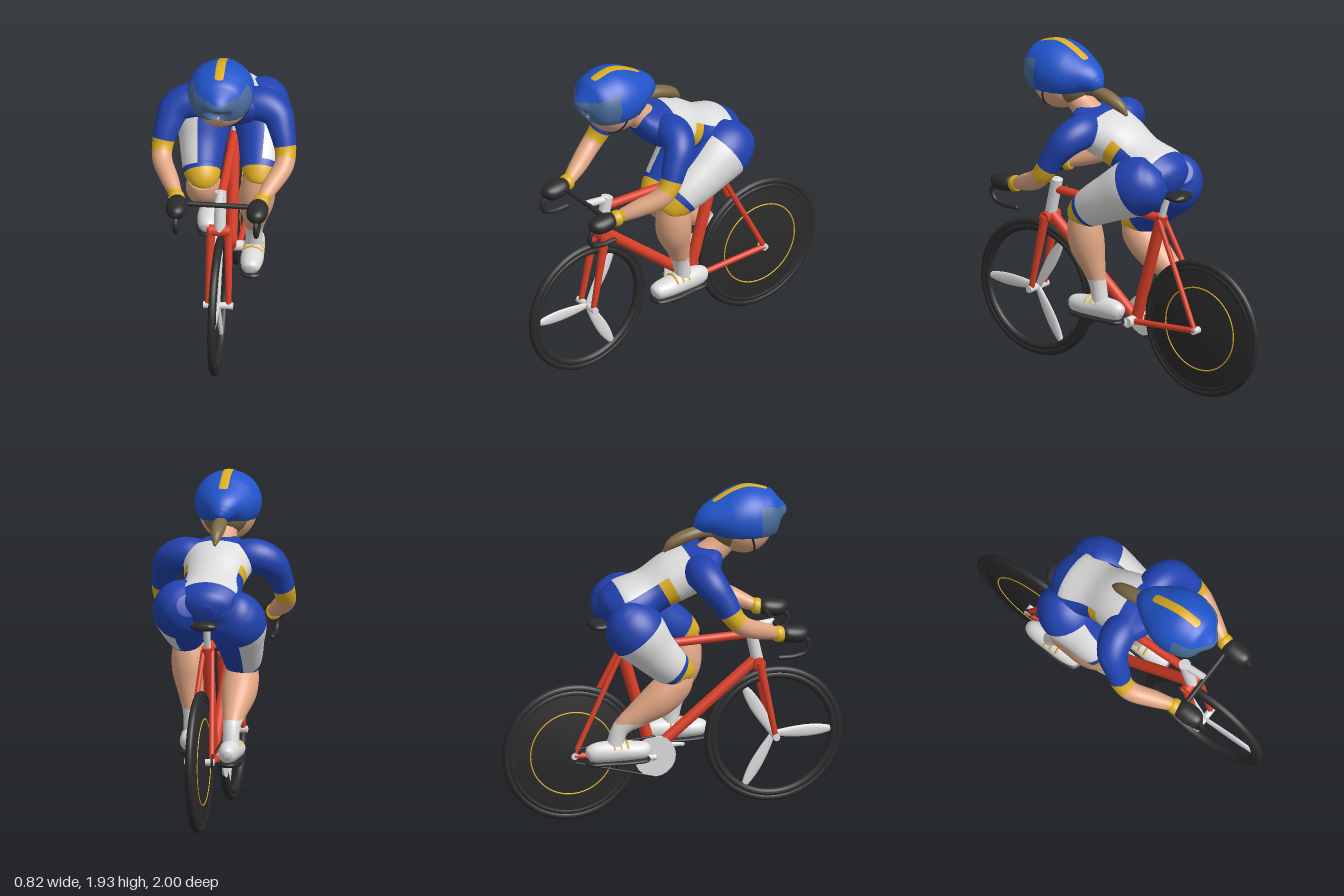
import * as THREE from 'three';

const mat = (name, color) => Object.assign(new THREE.MeshStandardMaterial({ color }), { name });
const M = {
  suit: mat('suit blue', 0x2143b0), helmet: mat('helmet blue', 0x2155cc), visor: mat('visor blue grey', 0x4a6c9c),
  white: mat('white', 0xdcdcdc), yellow: mat('yellow', 0xdcae22), red: mat('frame red', 0xdc3f28),
  black: mat('black', 0x2b2b2b), skin: mat('skin', 0xe0a683), hair: mat('hair brown', 0x7d6a45),
};
const V = (x, y, z) => new THREE.Vector3(x, y, z);

export function createModel() {
  const root = new THREE.Group();
  root.name = 'racingCyclist';

  const add = (name, geo, material, pos = [0, 0, 0]) => {
    const m = new THREE.Mesh(geo, material);
    m.name = name;
    m.position.set(...pos);
    root.add(m);
    return m;
  };

  // Straight tube between two points
  const rod = (name, material, a, b, r1, r2 = r1) => {
    const A = V(...a), B = V(...b), d = B.clone().sub(A);
    const m = add(name, new THREE.CylinderGeometry(r2, r1, d.length(), 20), material);
    m.position.copy(A).add(B).multiplyScalar(0.5);
    m.quaternion.setFromUnitVectors(V(0, 1, 0), d.normalize());
    return m;
  };

  // Closed loft through stations [x, y, z, rx, ry]; paint(p, u, cos, sin) picks a material per face
  const loft = (name, st, paint, { ref = V(1, 0, 0), floor = -1, rings = 48, seg = 40 } = {}) => {
    const path = new THREE.CatmullRomCurve3(st.map(s => V(s[0], s[1], s[2])), false, 'catmullrom');
    const size = new THREE.CatmullRomCurve3(st.map(s => V(s[3], s[4] ?? s[3], 0)), false, 'catmullrom');
    const pts = [];
    for (let i = 0; i <= rings; i++) {
      const c = path.getPoint(i / rings), r = size.getPoint(i / rings), t = path.getTangent(i / rings);
      const side = ref.clone().addScaledVector(t, -ref.dot(t)).normalize();
      const up = t.clone().cross(side);
      for (let j = 0; j < seg; j++) {
        const a = j / seg * Math.PI * 2;
        const p = c.clone().addScaledVector(side, Math.cos(a) * Math.max(r.x, 0.002))
          .addScaledVector(up, Math.sin(a) * Math.max(r.y, 0.002));
        p.y = Math.max(p.y, floor);
        pts.push(p);
      }
    }
    const rule = typeof paint === 'function' ? paint : () => paint;
    const faces = new Map();
    const put = (m, ...ids) => { if (!faces.has(m)) faces.set(m, []); faces.get(m).push(...ids); };
    for (let i = 0; i < rings; i++) for (let j = 0; j < seg; j++) {
      const k = (j + 1) % seg, a = i * seg + j, b = i * seg + k, c = b + seg, d = a + seg;
      const mid = pts[a].clone().add(pts[b]).add(pts[c]).add(pts[d]).multiplyScalar(0.25);
      const ang = (j + 0.5) / seg * Math.PI * 2;
      put(rule(mid, (i + 0.5) / rings, Math.cos(ang), Math.sin(ang)), a, b, c, a, c, d);
    }
    // End caps
    const n = pts.length, last = rings * seg;
    pts.push(path.getPoint(0), path.getPoint(1));
    pts[n].y = Math.max(pts[n].y, floor);
    pts[n + 1].y = Math.max(pts[n + 1].y, floor);
    const m0 = rule(pts[n], 0, 0, 0), m1 = rule(pts[n + 1], 1, 0, 0);
    for (let j = 0; j < seg; j++) {
      const k = (j + 1) % seg;
      put(m0, n, k, j);
      put(m1, n + 1, last + j, last + k);
    }
    const geo = new THREE.BufferGeometry().setFromPoints(pts);
    const index = [], mats = [...faces.keys()];
    mats.forEach((m, i) => {
      geo.addGroup(index.length, faces.get(m).length, i);
      for (const id of faces.get(m)) index.push(id);
    });
    geo.setIndex(index);
    geo.computeVertexNormals();
    return add(name, geo, mats);
  };

  const ring = (name, material, R, r, x, y, z) => {
    const m = add(name, new THREE.TorusGeometry(R, r, 14, 72), material, [x, y, z]);
    m.rotation.y = Math.PI / 2;
    return m;
  };

  // Wheels
  const WY = 0.405, FZ = 0.595, RZ = -0.595;
  for (const [n, z] of [['front', FZ], ['rear', RZ]]) {
    ring(n + 'Tyre', M.black, 0.383, 0.022, 0, WY, z);
    ring(n + 'Rim', M.black, 0.355, 0.023, 0, WY, z);
    rod(n + 'Hub', M.white, [-0.085, WY, z], [0.085, WY, z], 0.02);
  }
  for (let i = 0; i < 3; i++) {
    const a = i * Math.PI * 2 / 3;
    loft('wheelBlade', [[0, 0.016], [0.1, 0.03], [0.2, 0.036], [0.28, 0.03], [0.345, 0.016]].map(([r, w]) =>
      [0, WY + Math.sin(a) * r, FZ + Math.cos(a) * r, 0.012, w]), M.white, { rings: 16, seg: 16 });
  }
  const disc = add('rearDisc', new THREE.LatheGeometry(
    [[0, -0.035], [0.35, -0.02], [0.35, 0.02], [0, 0.035]].map(p => new THREE.Vector2(...p)), 64), M.black, [0, WY, RZ]);
  disc.rotation.z = Math.PI / 2;
  for (const s of [-1, 1]) ring('discStripe', M.yellow, 0.245, 0.004, s * 0.0245, WY, RZ);

  // Frame
  const BY = 0.36, BZ = -0.12;
  rod('topTube', M.red, [0, 1.02, 0.46], [0, 1.0, -0.3], 0.025);
  rod('downTube', M.red, [0, 0.87, 0.5], [0, BY, BZ], 0.032);
  rod('seatTube', M.red, [0, 1.02, -0.305], [0, BY, BZ], 0.034);
  rod('headTube', M.white, [0, 0.85, 0.505], [0, 1.08, 0.455], 0.034);
  rod('forkCrown', M.red, [-0.06, 0.85, 0.505], [0.06, 0.85, 0.505], 0.033);
  rod('seatPost', M.white, [0, 1.0, -0.3], [0, 1.15, -0.345], 0.02);
  rod('bottomBracket', M.white, [-0.09, BY, BZ], [0.09, BY, BZ], 0.03);
  for (const s of [-1, 1]) {
    rod('forkBlade', M.red, [s * 0.05, 0.86, 0.503], [s * 0.06, WY, FZ], 0.026, 0.016);
    rod('seatStay', M.red, [s * 0.025, 1.0, -0.3], [s * 0.07, WY, RZ], 0.015);
    rod('chainStay', M.red, [s * 0.045, BY, BZ], [s * 0.07, WY, RZ], 0.017);
  }
  loft('saddle', [[0, 1.165, -0.49, 0.03, 0.015], [0, 1.16, -0.46, 0.075, 0.025], [0, 1.16, -0.38, 0.07, 0.025],
    [0, 1.155, -0.27, 0.03, 0.02], [0, 1.15, -0.18, 0.015, 0.012]], M.black);

  // Drive train
  rod('chainring', M.white, [-0.08, BY, BZ], [-0.07, BY, BZ], 0.122);
  rod('rearCog', M.black, [-0.08, WY, RZ], [-0.07, WY, RZ], 0.04);
  rod('upperChain', M.black, [-0.075, BY + 0.122, BZ], [-0.075, WY + 0.04, RZ], 0.006);
  rod('lowerChain', M.black, [-0.075, BY - 0.122, BZ], [-0.075, WY - 0.04, RZ], 0.006);
  for (const s of [-1, 1]) {
    const pz = BZ + s * 0.205;
    rod('crankArm', M.white, [s * 0.09, BY, BZ], [s * 0.09, BY, pz], 0.018, 0.014);
    rod('pedalAxle', M.white, [s * 0.08, BY, pz], [s * 0.19, BY, pz], 0.012);
    add('pedal', new THREE.BoxGeometry(0.09, 0.025, 0.09), M.black, [s * 0.15, BY - 0.003, pz]);
  }

  // Handlebar
  rod('stem', M.white, [0, 1.065, 0.46], [0, 1.08, 0.6], 0.022);
  rod('barTop', M.black, [-0.21, 1.08, 0.6], [0.21, 1.08, 0.6], 0.015);
  for (const s of [-1, 1]) {
    const c = new THREE.CatmullRomCurve3([[0.2, 1.08, 0.6], [0.228, 1.08, 0.63], [0.23, 1.07, 0.7], [0.23, 1.02, 0.745],
      [0.23, 0.965, 0.725], [0.23, 0.945, 0.66], [0.23, 0.945, 0.57]].map(p => V(s * p[0], p[1], p[2])));
    add('barDrop', new THREE.TubeGeometry(c, 40, 0.014, 12), M.black);
    add('barEnd', new THREE.SphereGeometry(0.014, 12, 8), M.black, [s * 0.23, 0.945, 0.57]);
  }

  // Torso: blue hips, yellow stripe, white ribs and back, blue shoulders
  loft('torso', [[0, 1.22, -0.42, 0.05], [0, 1.24, -0.37, 0.15, 0.12], [0, 1.27, -0.27, 0.2, 0.15],
    [0, 1.34, -0.13, 0.17, 0.13], [0, 1.41, 0, 0.185, 0.14], [0, 1.455, 0.11, 0.21, 0.13], [0, 1.495, 0.19, 0.2, 0.1],
    [0, 1.535, 0.25, 0.12, 0.06], [0, 1.55, 0.28, 0.05, 0.03]], (p, u, c, s) => {
    if (s > 0.5 && u > 0.22 && u < 0.56) return M.white;
    if (u > 0.42 && u < 0.475) return M.yellow;
    return u >= 0.475 && u < 0.64 ? M.white : M.suit;
  }, { rings: 72, seg: 56 });

  // Arms and gloves
  for (const s of [-1, 1]) {
    loft('arm', [[0.08, 1.47, 0.13, 0.09], [0.2, 1.48, 0.13, 0.1], [0.29, 1.44, 0.16, 0.09], [0.33, 1.35, 0.22, 0.073],
      [0.352, 1.25, 0.275, 0.06], [0.343, 1.19, 0.34, 0.056], [0.29, 1.14, 0.45, 0.05], [0.245, 1.1, 0.55, 0.036],
      [0.24, 1.09, 0.58, 0.036]].map(([x, ...r]) => [s * x, ...r]), (p, u) =>
      u < 0.45 ? M.suit : u < 0.545 || p.z > 0.54 ? M.yellow : M.skin, { ref: V(0, 0.6, 0.8), rings: 64 });
    loft('wristBand', [[0.247, 1.1, 0.54, 0.036], [0.245, 1.098, 0.55, 0.045], [0.238, 1.09, 0.575, 0.046],
      [0.235, 1.088, 0.588, 0.036]].map(([x, ...r]) => [s * x, ...r]), M.yellow, { rings: 12 });
    loft('glove', [[0.235, 1.09, 0.575, 0.035], [0.232, 1.088, 0.61, 0.057, 0.048], [0.23, 1.08, 0.67, 0.06, 0.05],
      [0.23, 1.078, 0.715, 0.045, 0.04], [0.23, 1.07, 0.742, 0.012]].map(([x, ...r]) => [s * x, ...r]), M.black);
  }

  // Legs: the +x knee is raised, the -x knee is low
  const thighs = {
    1: [[0.1, 1.27, -0.4, 0.06], [0.13, 1.25, -0.34, 0.14], [0.155, 1.22, -0.24, 0.17], [0.18, 1.13, -0.08, 0.14],
      [0.185, 1.045, 0.06, 0.115], [0.185, 0.99, 0.13, 0.09], [0.18, 0.955, 0.155, 0.06]],
    [-1]: [[-0.1, 1.27, -0.36, 0.07], [-0.13, 1.23, -0.32, 0.14], [-0.16, 1.15, -0.25, 0.168], [-0.165, 1.03, -0.15, 0.135],
      [-0.16, 0.93, -0.055, 0.113], [-0.15, 0.88, 0, 0.095], [-0.15, 0.84, 0.01, 0.06]],
  };
  const shins = {
    1: [[0.18, 1.0, 0.12, 0.08], [0.175, 0.9, 0.118, 0.1], [0.165, 0.8, 0.105, 0.1], [0.155, 0.68, 0.07, 0.07],
      [0.147, 0.58, 0.045, 0.05], [0.145, 0.46, 0.025, 0.047]],
    [-1]: [[-0.15, 0.88, 0, 0.085], [-0.15, 0.81, -0.03, 0.1], [-0.15, 0.73, -0.12, 0.1], [-0.147, 0.65, -0.24, 0.073],
      [-0.145, 0.575, -0.34, 0.05], [-0.145, 0.46, -0.385, 0.047]],
  };
  for (const s of [1, -1]) {
    loft('thigh', thighs[s], (p, u, c) => u > 0.75 ? M.yellow
      : u > 0.35 && u < 0.7 && s * c > 0.15 ? M.white : M.suit, { rings: 56 });
    loft('lowerLeg', shins[s], p => p.y < 0.61 ? M.white : M.skin, { rings: 56 });
    // Shoe, sole and laces
    const x = s * 0.145, z = s > 0 ? 0 : -0.41;
    loft('shoe', [[0.425, 0.238, 0.02], [0.43, 0.215, 0.05, 0.045], [0.435, 0.14, 0.065, 0.055], [0.44, 0.04, 0.062, 0.062],
      [0.44, -0.06, 0.055, 0.06], [0.435, -0.115, 0.04, 0.045], [0.43, -0.135, 0.012]]
      .map(([y, d, ...r]) => [x, y, z + d, ...r]), M.white, { floor: 0.385 });
    loft('sole', [[0.24, 0.02, 0.008], [0.21, 0.055, 0.017], [0.1, 0.067, 0.018], [-0.02, 0.055, 0.018], [-0.1, 0.05, 0.017],
      [-0.135, 0.015, 0.008]].map(([d, ...r]) => [x, 0.377, z + d, ...r]), M.black);
    for (const d of [0.1, 0.06, 0.02]) {
      const lace = add('lace', new THREE.TorusGeometry(0.062, 0.006, 8, 16, Math.PI * 0.7), M.yellow, [x, 0.437, z + d]);
      lace.rotation.z = Math.PI * 0.15;
    }
  }

  // Head, hair and helmet
  loft('neck', [[0, 1.5, 0.18, 0.085], [0, 1.57, 0.27, 0.075], [0, 1.65, 0.36, 0.075]], M.skin, { rings: 16 });
  add('head', new THREE.SphereGeometry(0.165, 40, 28), M.skin, [0, 1.69, 0.42]);
  add('nose', new THREE.SphereGeometry(0.016, 16, 12), M.skin, [0, 1.652, 0.58]);
  const mouth = add('mouth', new THREE.TorusGeometry(0.022, 0.003, 6, 16, Math.PI * 0.7), M.hair, [0, 1.64, 0.571]);
  mouth.rotation.z = Math.PI * 1.15;
  const strap = add('chinStrap', new THREE.TorusGeometry(0.166, 0.006, 8, 40, Math.PI), M.black, [0, 1.69, 0.42]);
  strap.rotation.set(-0.3, 0, Math.PI);
  add('hairBack', new THREE.SphereGeometry(0.14, 32, 20), M.hair, [0, 1.695, 0.36]);
  loft('ponytail', [[0, 1.645, 0.26, 0.025], [0, 1.665, 0.19, 0.033], [0, 1.65, 0.09, 0.042, 0.036],
    [0, 1.61, 0, 0.032], [0, 1.565, -0.05, 0.008]], M.hair);
  const shell = [[1.72, 0.632, 0.03, 0.03], [1.73, 0.62, 0.085, 0.085], [1.735, 0.58, 0.145, 0.14], [1.74, 0.52, 0.175, 0.165],
    [1.743, 0.43, 0.19, 0.178], [1.74, 0.33, 0.172, 0.15], [1.735, 0.23, 0.115, 0.095], [1.71, 0.16, 0.055, 0.05],
    [1.7, 0.13, 0.012, 0.012]];
  loft('helmet', shell.map(([y, z, a, b]) => [0, y, z, a, b]),
    p => p.z > 0.485 && p.y < 1.8 + (0.62 - p.z) * 0.33 ? M.visor : M.helmet, { floor: 1.65, rings: 88, seg: 64 });
  loft('helmetStripe', shell.slice(1, 8).map(([y, z, a, b]) => [0, y + b, z, 0.027, 0.005]), M.yellow, { rings: 48, seg: 16 });

  return root;
}
